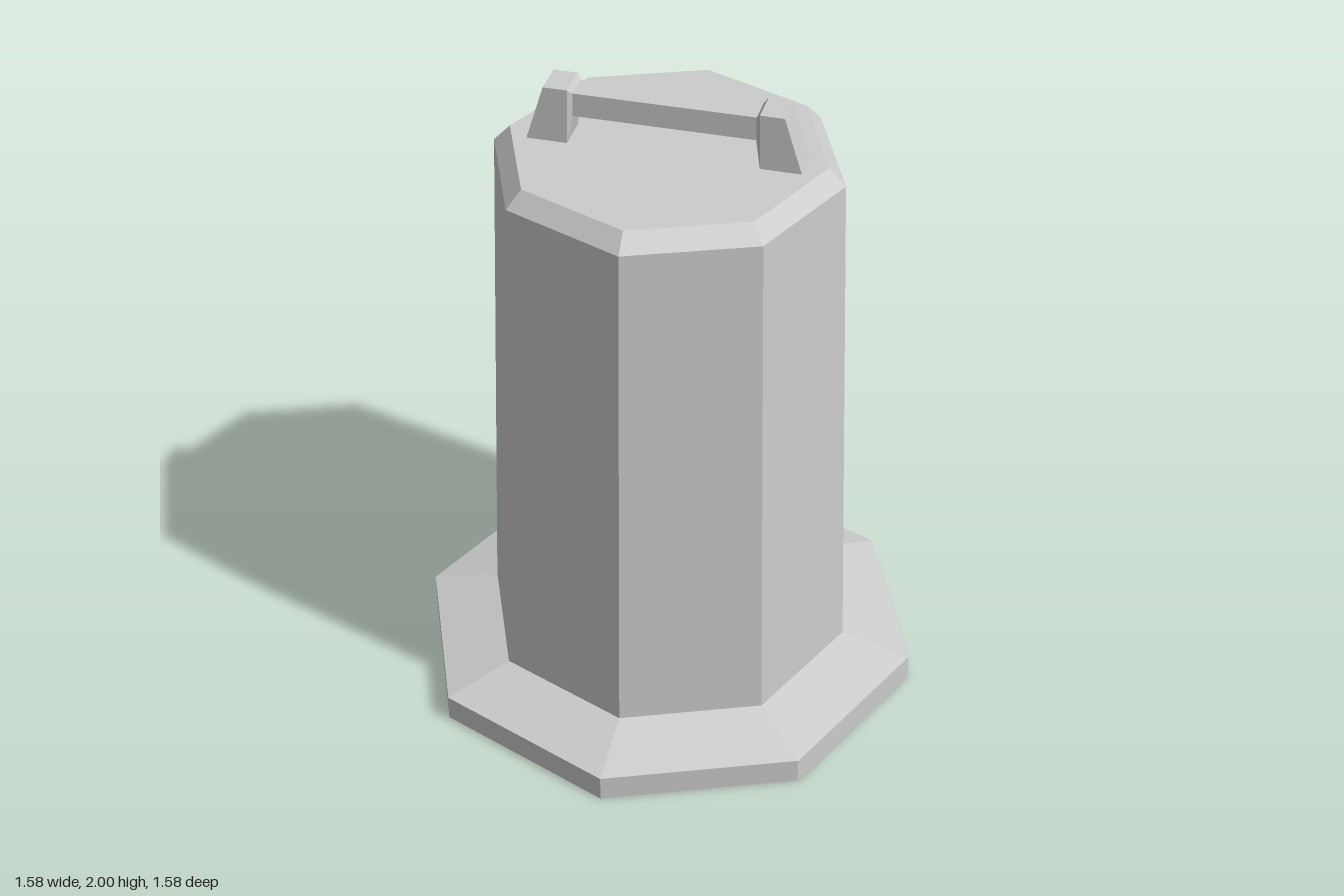
import * as THREE from 'three';

const material = new THREE.MeshStandardMaterial({ color: 0xcccccc, flatShading: true });

// Skins a row of four-cornered sections running from -x to +x and caps both ends.
// Section: [bottom x, top x, bottom y, top y, half depth]
function loft(sections) {
  const positions = [];
  const index = [];
  for (const [xb, xt, yb, yt, z] of sections) {
    positions.push(xb, yb, z, xt, yt, z, xt, yt, -z, xb, yb, -z);
  }
  for (let s = 0; s < sections.length - 1; s++) {
    for (let i = 0; i < 4; i++) {
      const a = s * 4 + i;
      const b = s * 4 + ((i + 1) % 4);
      index.push(a, a + 4, b + 4, a, b + 4, b);
    }
  }
  const e = (sections.length - 1) * 4;
  index.push(0, 1, 2, 0, 2, 3, e, e + 2, e + 1, e, e + 3, e + 2);
  const geometry = new THREE.BufferGeometry();
  geometry.setAttribute('position', new THREE.Float32BufferAttribute(positions, 3));
  geometry.setIndex(index);
  const flat = geometry.toNonIndexed();
  flat.computeVertexNormals();
  return flat;
}

export function createModel() {
  const group = new THREE.Group();

  // Octagonal body: recessed underside, flared foot, tapered wall, bevelled top
  const profile = [
    [0, 0.17], [0.45, 0.17], [0.47, 0],
    [0.79, 0], [0.79, 0.08], [0.575, 0.138],
    [0.525, 1.775], [0.475, 1.828], [0, 1.828],
  ].map(([r, y]) => new THREE.Vector2(r, y));
  const body = new THREE.Mesh(new THREE.LatheGeometry(profile, 8), material);
  body.name = 'body';
  group.add(body);

  // Handle: sloped post, short collar and bar, mirrored to the other side
  const half = [
    [-0.407, -0.354, 1.828, 2, 0.055],
    [-0.285, -0.282, 1.828, 2, 0.055],
    [-0.27, -0.27, 1.912, 1.985, 0.042],
  ];
  const mirrored = half.map(([xb, xt, ...rest]) => [-xb, -xt, ...rest]).reverse();
  const handle = new THREE.Mesh(loft([...half, ...mirrored]), material);
  handle.name = 'handle';
  group.add(handle);

  return group;
}
